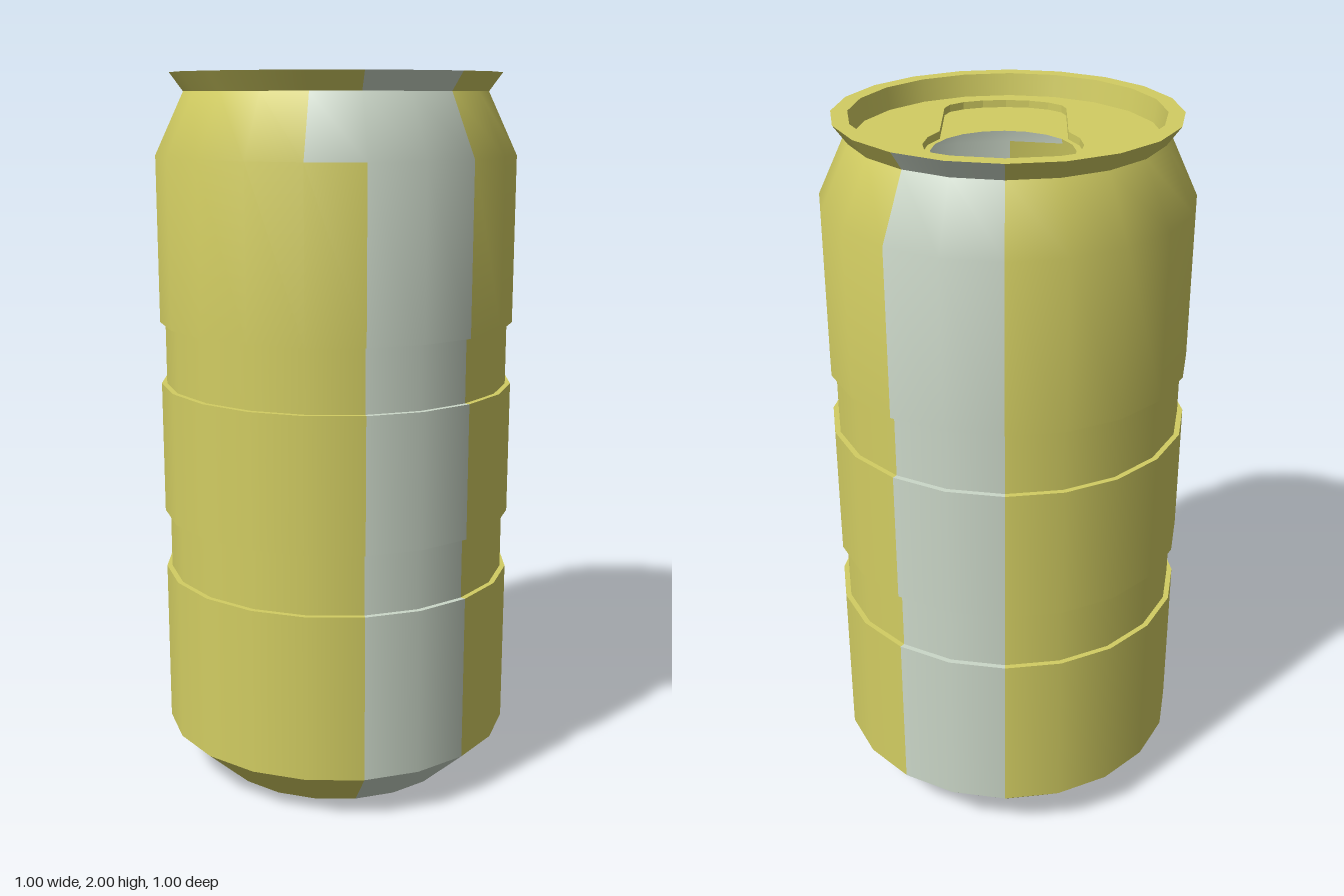
import * as THREE from 'three';

const SIDES = 20;

export function createModel() {
  const can = new THREE.Group();
  can.name = 'drinkCan';

  const yellow = new THREE.MeshStandardMaterial({ color: 0xd2cd62, side: THREE.DoubleSide });
  yellow.name = 'yellow';
  const paleGrey = new THREE.MeshStandardMaterial({ color: 0xcbd7c8, side: THREE.DoubleSide });
  paleGrey.name = 'paleGrey';

  const add = (name, geometry, material = yellow) => {
    const mesh = new THREE.Mesh(geometry, material);
    mesh.name = name;
    can.add(mesh);
    return mesh;
  };

  // Front and back stripes, each two facets wide
  const stripe = (i) => i === 0 || i === 1 || i === 8 || i === 9;
  const never = () => false;

  // Turned band; isGrey(facet, row) picks the colour of each face
  const band = (name, profile, isGrey = stripe) => {
    const points = profile.map(([r, y]) => new THREE.Vector2(r, y));
    const geometry = new THREE.LatheGeometry(points, SIDES);
    const rows = points.length - 1;
    for (let i = 0; i < SIDES; i++) {
      for (let j = 0; j < rows; j++) {
        geometry.addGroup((i * rows + j) * 6, 6, isGrey(i, j) ? 1 : 0);
      }
    }
    add(name, geometry, [yellow, paleGrey]);
  };

  // Base and lower chamfer
  add('base', new THREE.CircleGeometry(0.36, SIDES).rotateX(Math.PI / 2));
  band('baseChamfer', [[0.36, 0], [0.5, 0.13]], (i) => i < 10);

  // Body with two shallow grooves
  band('lowerBody', [[0.5, 0.13], [0.5, 0.6]]);
  band('middleBody', [[0.5, 0.77], [0.5, 1.145]]);
  for (const [low, high] of [[0.6, 0.77], [1.145, 1.32]]) {
    band('grooveLowerStep', [[0.5, low], [0.485, low]]);
    band('groove', [[0.485, low], [0.485, high]]);
    band('grooveUpperStep', [[0.485, high], [0.5, high]]);
  }

  // Upper body and shoulder; the stripe is one facet wider on the shoulder
  band('upperBody', [[0.5, 1.32], [0.5, 1.78], [0.42, 1.95]],
    (i, j) => stripe(i) || (i === 19 && j === 1));

  // Rim
  band('rimOutside', [[0.42, 1.95], [0.457, 2]]);
  band('rimTop', [[0.457, 2], [0.413, 2]], never);
  band('rimInside', [[0.413, 2], [0.405, 1.94]], never);

  // Outline of the keyhole recess, in x and -z
  const outline = [];
  const arc = (cx, cy, rx, ry, from, to, steps) => {
    for (let k = 0; k <= steps; k++) {
      const a = from + (to - from) * k / steps;
      outline.push(new THREE.Vector2(cx + rx * Math.cos(a), cy + ry * Math.sin(a)));
    }
  };
  arc(0.01, 0.09, 0.205, 0.205, -0.61, Math.PI + 0.61, 14);
  arc(0.01, -0.26, 0.168, 0.09, Math.PI, Math.PI * 2, 8);

  // Lid plate around the recess
  const flat = (shape, y) => new THREE.ShapeGeometry(shape).rotateX(-Math.PI / 2).translate(0, y, 0);
  const circle = (cx, cy, r) => Array.from({ length: SIDES }, (_, k) => {
    const a = k / SIDES * Math.PI * 2;
    return new THREE.Vector2(cx + r * Math.cos(a), cy + r * Math.sin(a));
  });
  const lid = new THREE.Shape(circle(0, 0, 0.405));
  lid.holes.push(new THREE.Path(outline));
  add('lid', flat(lid, 1.94));

  // Recess floor with the drinking hole
  const floor = new THREE.Shape(outline);
  floor.holes.push(new THREE.Path(circle(0.01, 0.08, 0.187)));
  add('recessFloor', flat(floor, 1.92));

  // Recess wall, facing inwards
  const wall = [];
  outline.forEach((p, k) => {
    const q = outline[(k + 1) % outline.length];
    const a = [p.x, 1.92, -p.y], b = [q.x, 1.92, -q.y];
    const c = [q.x, 1.94, -q.y], d = [p.x, 1.94, -p.y];
    wall.push(...a, ...c, ...b, ...a, ...d, ...c);
  });
  const wallGeometry = new THREE.BufferGeometry();
  wallGeometry.setAttribute('position', new THREE.Float32BufferAttribute(wall, 3));
  wallGeometry.computeVertexNormals();
  add('recessWall', wallGeometry);

  return can;
}
